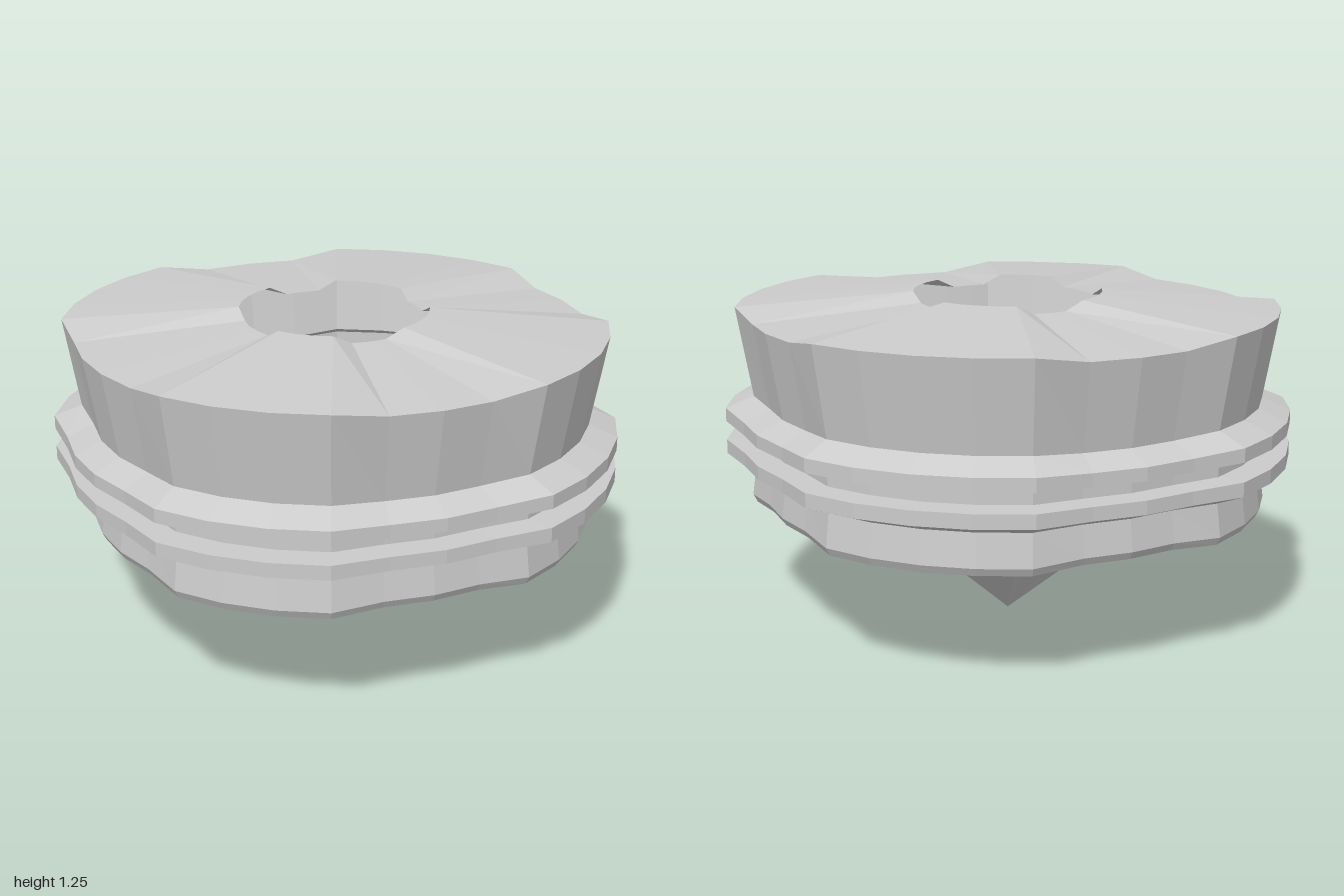
import * as THREE from 'three';

const SEGMENTS = 32;
const PIVOT_Y = 0.64; // raised sectors are scaled about this height
const RAISE = 1.058;

// Radius and height from the pointed tip up to the rim of the open top
const PROFILE = [
  [0, 0.035], [0.33, 0.308], [0.685, 0.395], [0.685, 0.455],
  [0.9, 0.462], [0.915, 0.49], [0.9, 0.605],   // lower body
  [1, 0.645], [1, 0.695], [0.9, 0.695],        // lower flange
  [0.9, 0.762], [1, 0.762], [1, 0.81], [0.9, 0.852], // groove and upper flange
  [0.955, 1.17], [0.333, 1.217],               // flared wall and top face
];

// Four raised sectors on the diagonals; one column is left sunken
function isRaised(column) {
  const k = column % 8;
  return k >= 2 && k <= 6 && column !== 26;
}

export function createModel() {
  const group = new THREE.Group();
  const points = PROFILE.map(([r, y]) => new THREE.Vector2(r, y));
  const geometry = new THREE.LatheGeometry(points, SEGMENTS);
  const pos = geometry.attributes.position;

  for (let i = 0; i < pos.count; i++) {
    const column = Math.floor(i / points.length) % SEGMENTS;
    const isTip = i % points.length === 0;
    const s = isTip || isRaised(column) ? RAISE : 1;
    pos.setXYZ(i, pos.getX(i) * s, PIVOT_Y + (pos.getY(i) - PIVOT_Y) * s, pos.getZ(i) * s);
  }
  geometry.computeVertexNormals();

  // Hollow shell, visible inside through the top opening
  const shell = new THREE.Mesh(geometry, new THREE.MeshStandardMaterial({
    color: 0xcccccc, flatShading: true, side: THREE.DoubleSide,
  }));
  shell.name = 'flangedShell';
  group.add(shell);
  return group;
}
